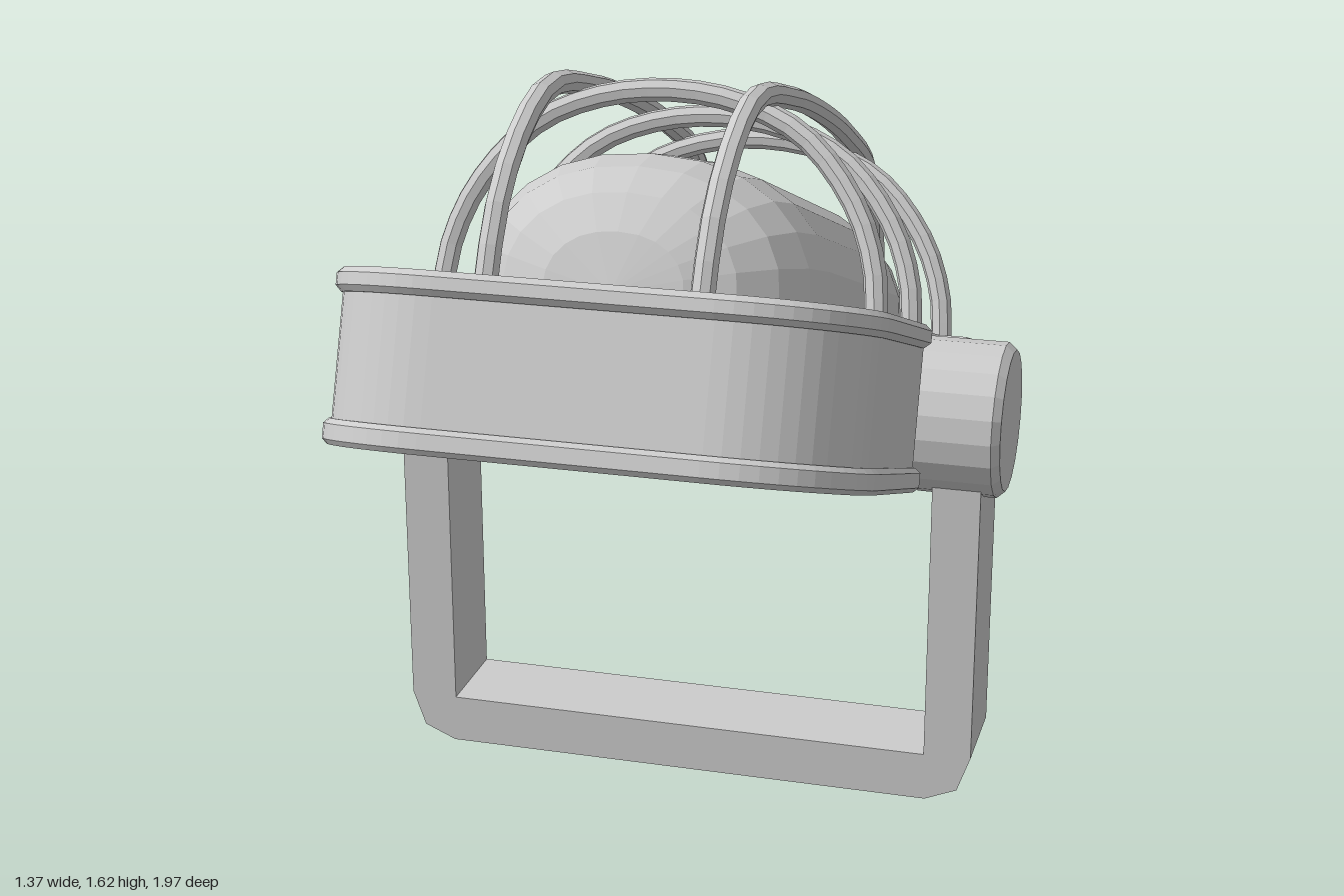
import * as THREE from 'three';

const material = new THREE.MeshStandardMaterial({ color: 0xcccccc, flatShading: true });

function add(parent, name, geometry) {
  const mesh = new THREE.Mesh(geometry, material);
  mesh.name = name;
  parent.add(mesh);
  return mesh;
}

// Rounded rectangle; an optional notch bites into the middle of both long sides
function outline(path, w, l, r, notchX = 0, notchL = 0) {
  path.moveTo(w, -l + r);
  if (notchX) {
    path.lineTo(w, -notchL).lineTo(notchX, -notchL);
    path.lineTo(notchX, notchL).lineTo(w, notchL);
  }
  path.lineTo(w, l - r).absarc(w - r, l - r, r, 0, Math.PI / 2, false);
  path.lineTo(-w + r, l).absarc(-w + r, l - r, r, Math.PI / 2, Math.PI, false);
  if (notchX) {
    path.lineTo(-w, notchL).lineTo(-notchX, notchL);
    path.lineTo(-notchX, -notchL).lineTo(-w, -notchL);
  }
  path.lineTo(-w, -l + r).absarc(-w + r, -l + r, r, Math.PI, Math.PI * 1.5, false);
  path.lineTo(w - r, -l).absarc(w - r, -l + r, r, Math.PI * 1.5, Math.PI * 2, false);
  return path;
}

// Flat plate lying between two heights, with a small edge bevel
function plate(shape, bottom, top, bevel = 0) {
  const geometry = new THREE.ExtrudeGeometry(shape, {
    depth: top - bottom - 2 * bevel, curveSegments: 6,
    bevelEnabled: bevel > 0, bevelSize: bevel, bevelThickness: bevel,
    bevelOffset: -bevel, bevelSegments: 1,
  });
  return geometry.rotateX(-Math.PI / 2).translate(0, bottom + bevel, 0);
}

// Long glass dome lofted from arched sections that shrink at both ends
function domeGeometry() {
  const arc = 12, cap = 5, straight = 0.4, end = 0.74;
  const rings = [];
  for (let i = 0; i <= cap; i++) {
    const a = (i / cap) * Math.PI / 2;
    const t = Math.pow(Math.cos(a), 2 / 2.5);
    rings.push([-straight - (end - straight) * t, Math.pow(Math.sin(a), 2 / 2.5)]);
  }
  for (let i = cap; i >= 0; i--) rings.push([-rings[i][0], rings[i][1]]);
  const positions = [], index = [];
  for (const [z, s] of rings) {
    for (let j = 0; j <= arc; j++) {
      const a = (j / arc) * Math.PI;
      const c = Math.cos(a);
      positions.push(0.36 * s * Math.sign(c) * Math.pow(Math.abs(c), 0.9),
        0.165 + 0.3 * s * Math.pow(Math.max(0, Math.sin(a)), 0.9), z);
    }
  }
  for (let i = 0; i < rings.length - 1; i++) {
    for (let j = 0; j < arc; j++) {
      const a = i * (arc + 1) + j, b = a + arc + 1;
      index.push(a, a + 1, b, a + 1, b + 1, b);
    }
  }
  const geometry = new THREE.BufferGeometry();
  geometry.setAttribute('position', new THREE.Float32BufferAttribute(positions, 3));
  geometry.setIndex(index);
  geometry.computeVertexNormals();
  // sections run with +x first, so flip to face outward where needed
  const normal = geometry.attributes.normal;
  const middle = cap * (arc + 1) + arc / 2;
  if (normal.getY(middle) < 0) {
    geometry.setIndex(index.map((v, k) => index[k % 3 === 1 ? k + 1 : k % 3 === 2 ? k - 1 : k]));
    geometry.computeVertexNormals();
  }
  return geometry;
}

// Symmetric bent bar; half profile runs from foot to crown as [across, height]
function barGeometry(half, toVector) {
  const other = half.slice(0, -1).reverse().map(([a, h]) => [-a, h]);
  const curve = new THREE.CatmullRomCurve3([...half, ...other].map(([a, h]) => toVector(a, h)));
  return new THREE.TubeGeometry(curve, 28, 0.024, 8, false);
}

export function createModel() {
  const model = new THREE.Group();
  model.name = 'bulkheadLamp';

  // Tilted lamp
  const lamp = new THREE.Group();
  lamp.name = 'lamp';
  lamp.position.y = 0.86;
  lamp.rotation.x = -THREE.MathUtils.degToRad(20.2);
  model.add(lamp);

  // Housing: wall between two protruding rims, notched for the pivots
  add(lamp, 'housingWall', plate(outline(new THREE.Shape(), 0.528, 0.978, 0.26, 0.46, 0.265), -0.143, 0.15));
  add(lamp, 'topRim', plate(outline(new THREE.Shape(), 0.543, 0.993, 0.275, 0.48, 0.265), 0.122, 0.17, 0.012));
  const bottom = outline(new THREE.Shape(), 0.543, 0.993, 0.275, 0.46, 0.255);
  bottom.holes.push(outline(new THREE.Path(), 0.4, 0.73, 0.19));
  add(lamp, 'bottomRim', plate(bottom, -0.17, -0.12, 0.01));

  // Glass dome and its seat
  add(lamp, 'domeSeat', plate(outline(new THREE.Shape(), 0.4, 0.77, 0.26), 0.16, 0.178));
  add(lamp, 'dome', domeGeometry());

  // Wire guard
  const longBar = [[0.855, 0.15], [0.835, 0.29], [0.76, 0.43], [0.6, 0.56], [0.3, 0.608], [0, 0.62]];
  const crossBar = [[0.455, 0.15], [0.44, 0.27], [0.39, 0.39], [0.28, 0.515], [0.15, 0.575], [0, 0.595]];
  for (const x of [-0.21, 0.21]) {
    add(lamp, 'guardLongBar', barGeometry(longBar, (a, h) => new THREE.Vector3(x, h, a)));
  }
  for (const z of [-0.415, 0, 0.415]) {
    add(lamp, 'guardCrossBar', barGeometry(crossBar, (a, h) => new THREE.Vector3(a, h, z)));
  }

  // Pivot knobs
  const profile = [[0, 0.44], [0.15, 0.44], [0.15, 0.487], [0.165, 0.5], [0.165, 0.668], [0.15, 0.685], [0, 0.685]]
    .map(([r, h]) => new THREE.Vector2(r, h));
  for (const side of [-1, 1]) {
    const knob = add(model, 'pivotKnob', new THREE.LatheGeometry(profile, 20));
    knob.rotation.z = -side * Math.PI / 2;
    knob.position.set(0, 0.857, 0.013);
  }

  // U-shaped stand with clipped lower corners
  const stand = new THREE.Shape();
  [[-0.643, 0.86], [-0.643, 0.11], [-0.615, 0.03], [-0.545, 0], [0.545, 0], [0.615, 0.03], [0.643, 0.11], [0.643, 0.86],
    [0.54, 0.86], [0.54, 0.107], [-0.54, 0.107], [-0.54, 0.86]]
    .forEach(([x, y], i) => (i ? stand.lineTo(x, y) : stand.moveTo(x, y)));
  const standGeometry = new THREE.ExtrudeGeometry(stand, { depth: 0.21, bevelEnabled: false });
  add(model, 'stand', standGeometry.translate(0, 0, -0.092));

  return model;
}
